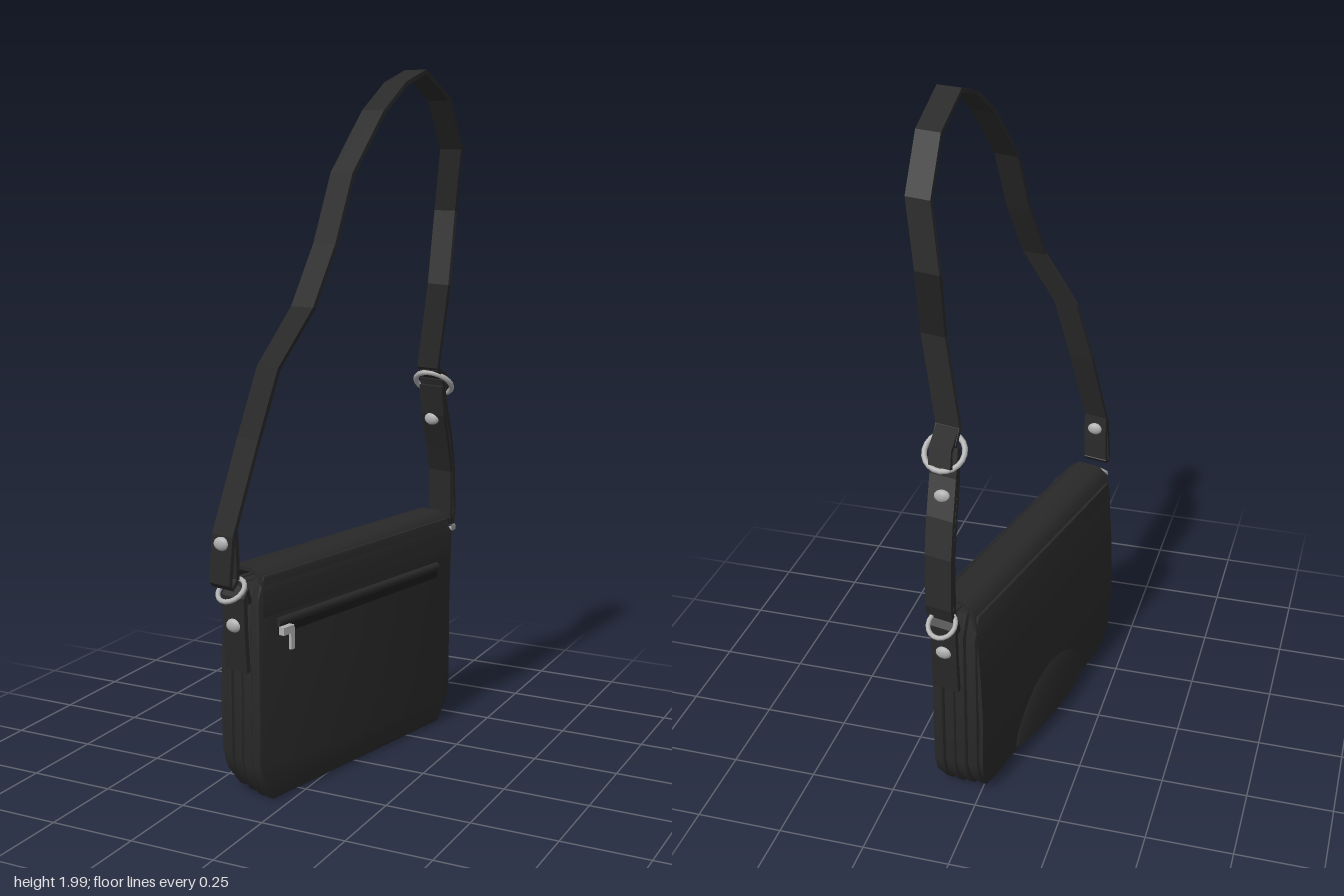
import * as THREE from 'three';
import { toCreasedNormals } from 'three/addons/utils/BufferGeometryUtils.js';

const V = (x, y, z) => new THREE.Vector3(x, y, z);
const TURN = -0.214; // the bag stands slightly turned about y

// Band of rectangular section swept along points; half may be a number or one value per point
function band(points, across, half, thick, crease) {
  const W = across.clone().normalize();
  const rings = points.map((p, i) => {
    const T = points[Math.min(i + 1, points.length - 1)].clone().sub(points[Math.max(i - 1, 0)]);
    const n = T.cross(W).normalize().multiplyScalar(thick / 2);
    const w = W.clone().multiplyScalar(Array.isArray(half) ? half[i] : half);
    return [[-1, -1], [1, -1], [1, 1], [-1, 1]].map(([a, b]) =>
      p.clone().addScaledVector(w, a).addScaledVector(n, b));
  });
  const out = [];
  const quad = (a, b, c, d) => [a, b, c, a, c, d].forEach(v => out.push(v.x, v.y, v.z));
  for (let i = 0; i < rings.length - 1; i++) {
    for (let j = 0; j < 4; j++) {
      const k = (j + 1) % 4;
      quad(rings[i][j], rings[i][k], rings[i + 1][k], rings[i + 1][j]);
    }
  }
  const s = rings[0], e = rings[rings.length - 1];
  quad(s[3], s[2], s[1], s[0]);
  quad(e[0], e[1], e[2], e[3]);
  const g = new THREE.BufferGeometry();
  g.setAttribute('position', new THREE.Float32BufferAttribute(out, 3));
  g.computeVertexNormals();
  return crease ? toCreasedNormals(g, crease) : g;
}

// Bevelled slab with clipped lower corners, lying in the local yz plane
function slab(half, bottom, top, depth) {
  const b = 0.008, h = half - b, lo = bottom + b, hi = top - b;
  const s = new THREE.Shape([
    [-h + 0.055, lo], [h - 0.055, lo], [h - 0.012, lo + 0.055], [h, lo + 0.1],
    [h, hi - 0.06], [h - 0.02, hi], [-h + 0.02, hi], [-h, hi - 0.06],
    [-h, lo + 0.1], [-h + 0.012, lo + 0.055],
  ].map(([x, y]) => new THREE.Vector2(x, y)));
  const g = new THREE.ExtrudeGeometry(s, {
    depth: depth - 2 * b, bevelThickness: b, bevelSize: b, bevelSegments: 2,
  });
  g.translate(0, 0, -(depth - 2 * b) / 2).rotateY(Math.PI / 2);
  return toCreasedNormals(g, 0.6);
}

export function createModel() {
  const leather = new THREE.MeshStandardMaterial({ color: 0x292929 });
  leather.name = 'black leather';
  const dark = new THREE.MeshStandardMaterial({ color: 0x191919 });
  dark.name = 'dark zip tape';
  const metal = new THREE.MeshStandardMaterial({ color: 0xb0b0b0 });
  metal.name = 'polished metal';

  const model = new THREE.Group();
  model.name = 'shoulderBag';
  const bag = new THREE.Group();
  bag.name = 'bagBody';
  bag.position.set(-0.026, 0, -0.035);
  bag.rotation.y = TURN;
  model.add(bag);

  function add(parent, name, geometry, material, pos = [0, 0, 0], rot = [0, 0, 0]) {
    const m = new THREE.Mesh(geometry, material);
    m.name = name;
    m.position.set(...pos);
    m.rotation.set(...rot);
    parent.add(m);
    return m;
  }

  // Body: back panel and pleated gusset layers around a core
  add(bag, 'core', slab(0.42, 0.03, 0.62, 0.125), leather);
  add(bag, 'backPanel', slab(0.445, 0.008, 0.655, 0.034), leather, [0.053, 0, 0]);
  [-0.055, -0.017, 0.018].forEach((x, i) =>
    add(bag, 'gussetPleat', slab(0.44, [0.02, 0.012, 0.005][i], 0.63, 0.034), leather, [x, 0, 0]));

  // Flap wraps over the top and down the other side, with rounded lower corners
  const flapPath = [
    [0.066, 0.54], [0.067, 0.61], [0.06, 0.65], [0.035, 0.668], [-0.03, 0.668], [-0.052, 0.65],
    [-0.064, 0.6], [-0.076, 0.42], [-0.081, 0.27], [-0.078, 0.14], [-0.075, 0.09],
    [-0.073, 0.05], [-0.072, 0.03],
  ].map(([x, y]) => V(x, y, 0));
  const flapHalf = [...Array(9).fill(0.43), 0.43, 0.42, 0.395, 0.36];
  add(bag, 'flap', band(flapPath, V(0, 0, 1), flapHalf, 0.012, 0.8), leather);

  // Soft half-round swelling on the lower flap
  const dome = new THREE.SphereGeometry(1, 32, 12, 0, Math.PI * 2, 0, Math.PI / 2);
  const swelling = add(bag, 'flapSwelling', dome, leather, [-0.074, 0.045, 0]);
  swelling.scale.set(0.032, 0.19, 0.22);
  const underside = new THREE.CircleGeometry(1, 32).rotateX(Math.PI / 2);
  add(swelling, 'flapSwellingUnderside', underside, leather);

  // Zip pocket on the back panel
  add(bag, 'zipWelt', new THREE.CylinderGeometry(0.014, 0.014, 0.74, 12), leather,
    [0.067, 0.514, 0], [Math.PI / 2, 0, 0]);
  add(bag, 'zipTape', new THREE.BoxGeometry(0.008, 0.022, 0.74), dark, [0.069, 0.49, 0]);
  add(bag, 'zipSlider', new THREE.BoxGeometry(0.022, 0.022, 0.045), metal, [0.08, 0.49, 0.345]);
  add(bag, 'zipPull', new THREE.BoxGeometry(0.008, 0.06, 0.016), metal, [0.086, 0.462, 0.328]);

  // Shoulder strap
  const across = V(Math.cos(TURN), 0, -Math.sin(TURN));
  const strip = (name, pts, half = 0.037, thick = 0.012) =>
    add(model, name, band(pts.map(p => V(...p)), across, half, thick), leather);
  strip('shoulderStrap', [
    [-0.118, 0.66, 0.462], [-0.12, 0.64, 0.485], [-0.122, 0.65, 0.494], [-0.116, 0.78, 0.484],
    [-0.078, 1.03, 0.412], [-0.034, 1.22, 0.38], [0.06, 1.38, 0.362], [0.088, 1.54, 0.29],
    [0.104, 1.72, 0.222], [0.135, 1.88, 0.1], [0.152, 1.955, 0], [0.16, 1.99, -0.11],
    [0.167, 1.92, -0.26], [0.165, 1.78, -0.358], [0.135, 1.6, -0.39], [0.155, 1.39, -0.3],
    [0.112, 1.14, -0.325], [0.11, 1.105, -0.37],
  ]);
  strip('strapInnerFold', [[-0.118, 0.66, 0.462], [-0.116, 0.72, 0.466], [-0.114, 0.8, 0.474]]);
  strip('strapEnd', [[0.112, 1.135, -0.33], [0.11, 1.105, -0.4], [0.108, 1.06, -0.415]], 0.034);
  strip('buckleStrapOuter', [
    [0.108, 1.1, -0.365], [0.107, 1.02, -0.39], [0.1, 0.92, -0.445], [0.096, 0.82, -0.48],
    [0.094, 0.67, -0.496], [0.093, 0.63, -0.485],
  ], 0.041);
  strip('buckleStrapInner', [
    [0.108, 1.08, -0.36], [0.107, 0.99, -0.378], [0.1, 0.88, -0.432], [0.096, 0.8, -0.464],
    [0.094, 0.65, -0.472], [0.093, 0.63, -0.485],
  ], 0.041);

  // Buckle ring
  add(model, 'buckleRing', new THREE.TorusGeometry(0.056, 0.008, 8, 20), metal,
    [0.108, 1.085, -0.375], [0.85, 0, 0]);

  // Side tabs, rings and rivets at both ends
  const rivet = new THREE.SphereGeometry(0.024, 14, 8);
  const stud = (x, y, z) => add(model, 'rivet', rivet, metal, [x, y, z]).scale.set(1, 0.8, 0.5);
  [[-0.118, 0.41, 1], [0.085, -0.467, -1]].forEach(([x, z, s]) => {
    strip('sideTab', [[x, 0.39, z + s * 0.006], [x, 0.5, z + s * 0.016], [x, 0.6, z + s * 0.02],
      [x, 0.62, z + s * 0.008], [x, 0.58, z - s * 0.008]], 0.04, 0.014);
    stud(x, 0.52, z + s * 0.024);
    const ring = add(model, 'sideRing', new THREE.TorusGeometry(0.04, 0.007, 8, 18), metal,
      [x, 0.622, z + s * 0.036], [-s * 0.9, 0, 0]);
    ring.rotation.order = 'YXZ';
    ring.rotation.y = TURN;
  });
  stud(-0.118, 0.76, 0.492);
  stud(-0.114, 0.76, 0.464);
  stud(0.102, 0.975, -0.378);
  stud(0.102, 0.975, -0.42);
  return model;
}
